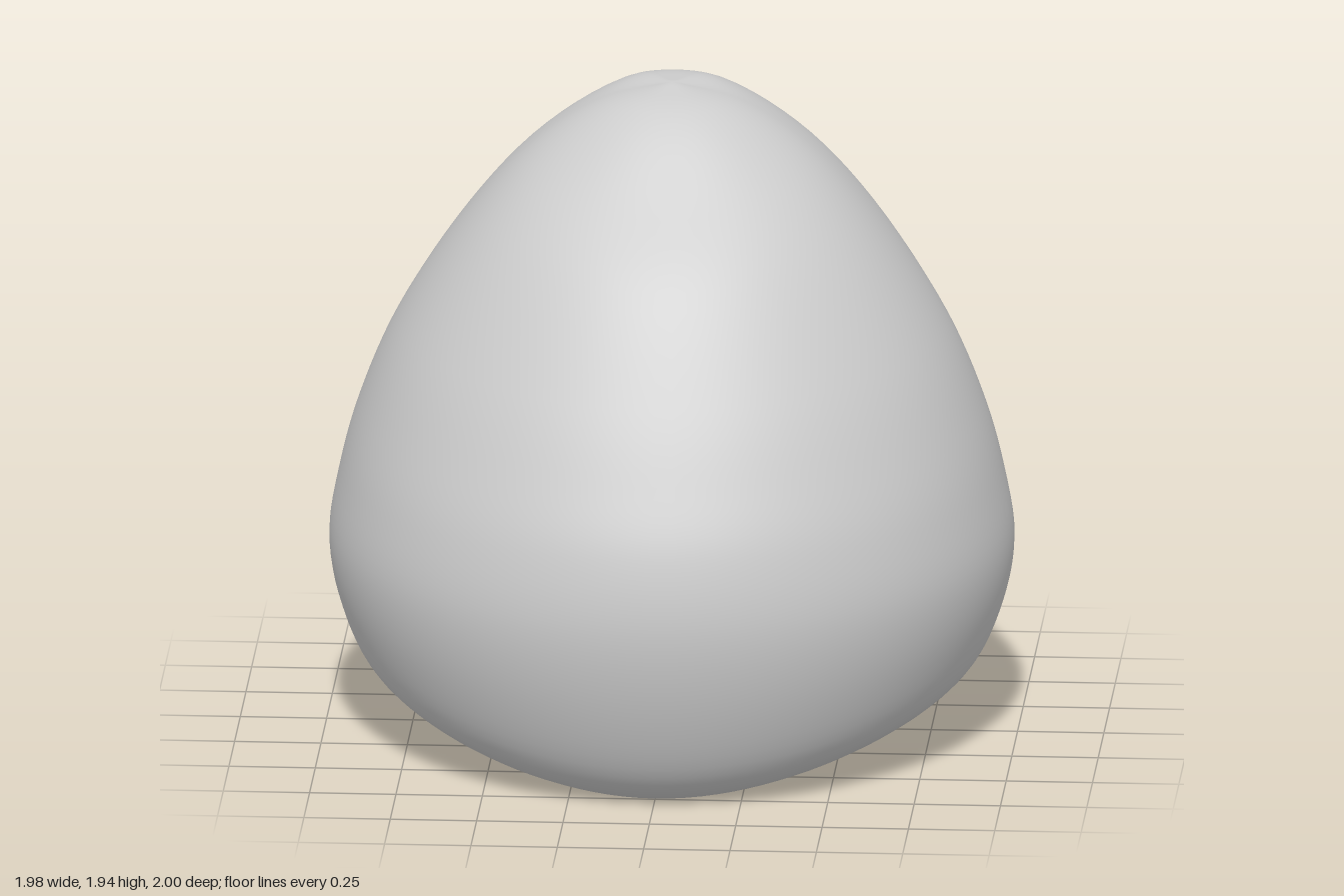
import * as THREE from 'three';
import { mergeVertices } from 'three/addons/utils/BufferGeometryUtils.js';

// Wall profiles [radius, height]: apex, down the wall, then curled under to the hole
const front = [[0, 1.96], [.16, 1.91], [.4, 1.7], [.6, 1.5], [.79, 1.2], [.89, 1], [.97, .8],
  [1, .57], [.95, .3], [.85, .09], [.74, .02], [.6, .06], [.46, .13], [.43, .2]];
const side = [[0, 1.96], [.2, 1.91], [.4, 1.78], [.6, 1.56], [.8, 1.25], [.905, 1], [.96, .8],
  [.99, .6], [.96, .42], [.88, .25], [.75, .16], [.6, .14], [.46, .17], [.44, .25]];
const back = [[0, 1.96], [.17, 1.945], [.4, 1.8], [.6, 1.57], [.76, 1.22], [.85, 1], [.91, .8],
  [.945, .6], [.94, .42], [.89, .28], [.75, .21], [.6, .2], [.5, .22], [.47, .3]];
// Doorway at the back: its two jambs and the crown of its arch
const jamb = [...back.slice(0, 5), [.83, 1.03], [.92, .83],
  [1.03, .66], [1.02, .45], [.93, .28], [.8, .22], [.65, .21], [.55, .25], [.52, .33]];
const crown = [...back.slice(0, 4), [.77, 1.2], [.81, 1.08], [.86, .92],
  [.92, .83], [.99, .755], [.98, .68], [.87, .62], [.75, .58], [.62, .57], [.55, .62]];

// Profiles keyed by the angle from the back, in degrees
const keys = [[0, crown], [17, jamb], [31, back], [90, side], [180, front]];

function profileAt(degrees) {
  let k = 0;
  while (k < keys.length - 2 && degrees > keys[k + 1][0]) k++;
  const [a0, p0] = keys[k], [a1, p1] = keys[k + 1];
  let t = (degrees - a0) / (a1 - a0);
  if (k === 0) t = Math.pow(t, 1.6); // rounder arch
  const w = THREE.MathUtils.smoothstep(t, 0, 1);
  return new THREE.CatmullRomCurve3(p0.map(([r, y], i) => new THREE.Vector3(
    THREE.MathUtils.lerp(r, p1[i][0], w), THREE.MathUtils.lerp(y, p1[i][1], w), 0)), false, 'centripetal');
}

// Loft of the profiles around the vertical axis, with columns packed at the doorway
function shellGeometry(columns = 144, rows = 78) {
  const positions = [], indices = [];
  for (let j = 0; j <= columns; j++) {
    const u = (j / columns) * 2 - 1;
    const phi = Math.PI * Math.sign(u) * Math.pow(Math.abs(u), 1.5);
    const curve = profileAt(Math.abs(THREE.MathUtils.radToDeg(phi)));
    for (let i = 0; i <= rows; i++) {
      const t = i / rows;
      const p = curve.getPoint(t);
      // The doorway passage widens towards the inside
      const a = phi + 0.36 * THREE.MathUtils.smoothstep(t, 0.66, 1) * Math.sin(phi);
      positions.push(p.x * Math.sin(a), p.y, -p.x * Math.cos(a));
    }
  }
  for (let j = 0; j < columns; j++) {
    for (let i = 0; i < rows; i++) {
      const a = j * (rows + 1) + i, b = a + 1, d = a + rows + 1, c = d + 1;
      if (i > 0) indices.push(a, d, c);
      indices.push(a, c, b);
    }
  }
  const geometry = new THREE.BufferGeometry();
  geometry.setAttribute('position', new THREE.Float32BufferAttribute(positions, 3));
  geometry.setIndex(indices);
  const merged = mergeVertices(geometry, 1e-5);
  merged.computeVertexNormals();
  return merged;
}

export function createModel() {
  const group = new THREE.Group();
  group.name = 'hollowDome';
  const material = new THREE.MeshStandardMaterial({ color: 0xcccccc, side: THREE.DoubleSide });
  const shell = new THREE.Mesh(shellGeometry(), material);
  shell.name = 'domeShellWithDoorway';
  group.add(shell);
  return group;
}
